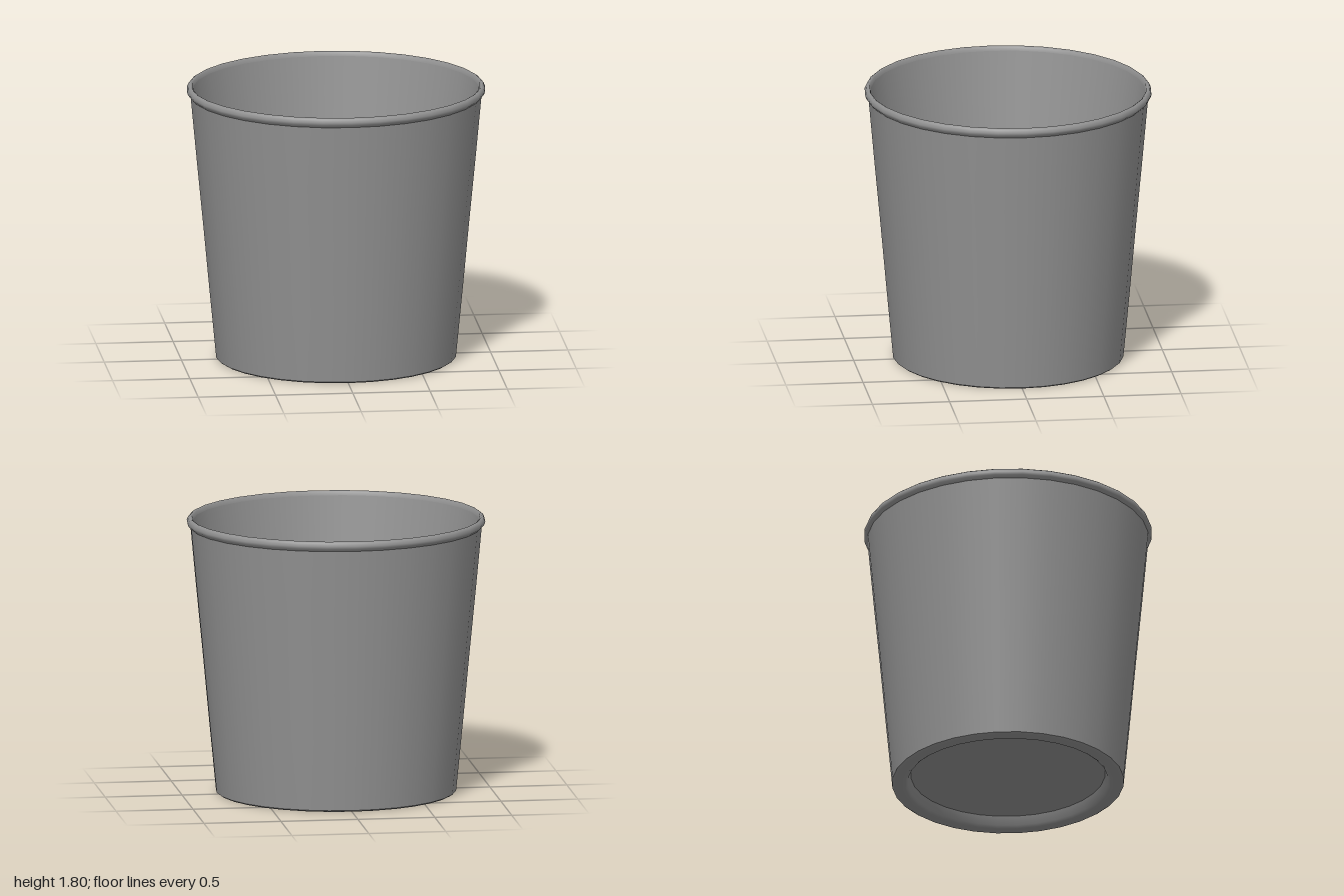
import * as THREE from 'three';

const SIDES = 32;
const DEPTH = 0.96; // the tub is slightly oval, narrower front to back

export function createModel() {
  const model = new THREE.Group();
  model.name = 'tub';
  const grey = new THREE.MeshStandardMaterial({ color: 0x929292 });
  grey.name = 'plain grey';

  // Turns a [radius, height] profile; each part keeps its own smooth normals
  function turn(name, profile) {
    const points = profile.map(([r, y]) => new THREE.Vector2(r, y));
    const geometry = new THREE.LatheGeometry(points, SIDES);
    geometry.scale(1, 1, DEPTH);
    const mesh = new THREE.Mesh(geometry, grey);
    mesh.name = name;
    model.add(mesh);
  }

  // Underside: recessed base panel inside a foot ring
  turn('basePanel', [[0, 0.07], [0.65, 0.07]]);
  turn('footRing', [[0.65, 0.07], [0.67, 0.015], [0.69, 0], [0.76, 0], [0.775, 0.01]]);

  // Tapered outer wall
  turn('outerWall', [[0.775, 0.01], [0.818, 0.45], [0.86, 0.9], [0.901, 1.32], [0.94, 1.735]]);

  // Rolled lip
  turn('rim', [[0.94, 1.735], [0.957, 1.752], [0.963, 1.77], [0.954, 1.79],
    [0.94, 1.8], [0.928, 1.793], [0.922, 1.77]]);

  // Inside wall and floor
  turn('innerWall', [[0.922, 1.77], [0.65, 0.12]]);
  turn('floor', [[0.65, 0.12], [0, 0.12]]);

  return model;
}
